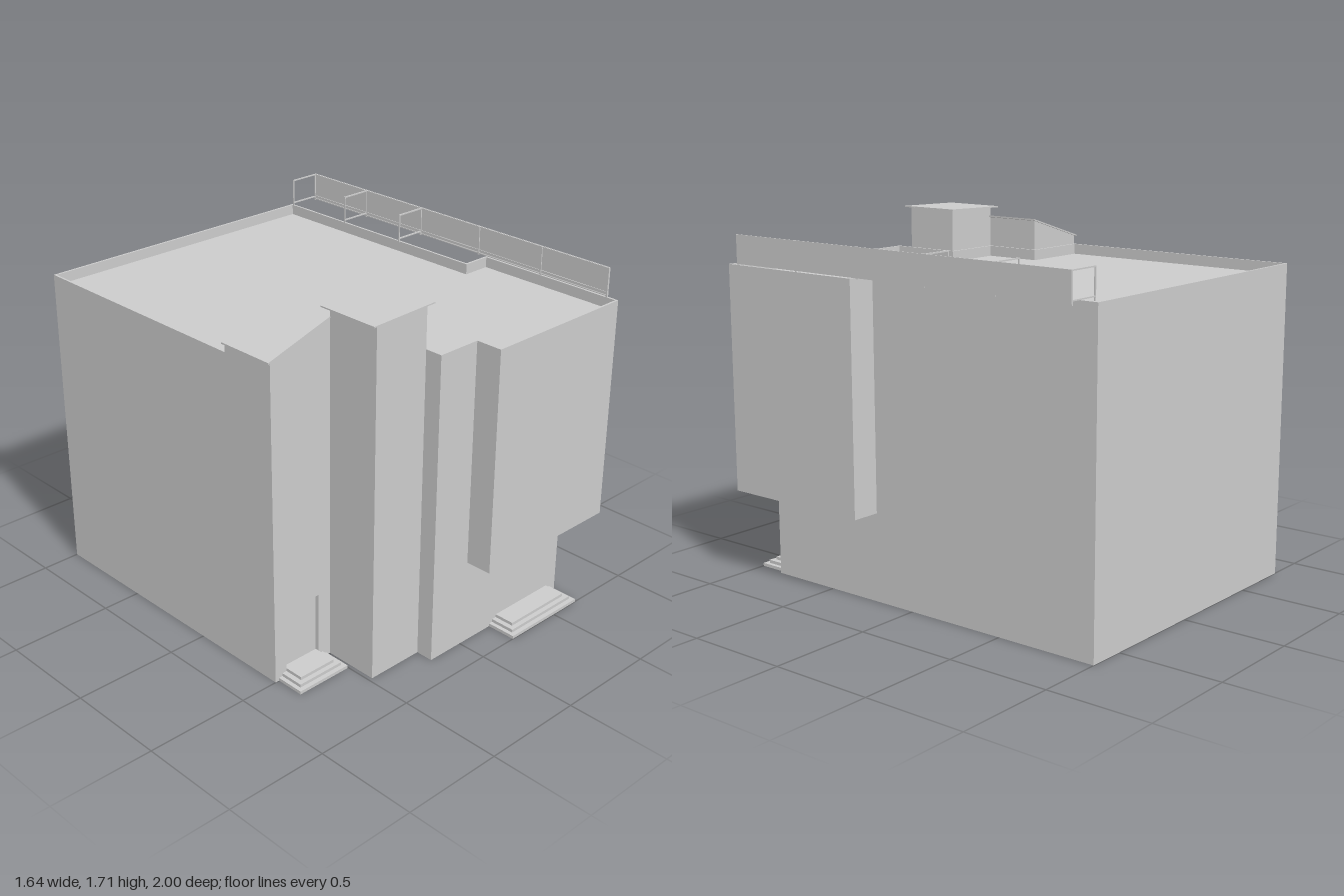
import * as THREE from 'three';

const DECK = 1.45, TOP = 1.5, SOFFIT = 0.42;

export function createModel() {
  const model = new THREE.Group();
  const mat = new THREE.MeshStandardMaterial({ color: 0xcccccc, side: THREE.DoubleSide });

  const add = (name, geo, parent = model) => {
    const mesh = new THREE.Mesh(geo, mat);
    mesh.name = name;
    parent.add(mesh);
    return mesh;
  };
  const group = (name) => {
    const g = new THREE.Group();
    g.name = name;
    model.add(g);
    return g;
  };
  // Box given by its minimum and maximum corners
  const box = (name, x0, y0, z0, x1, y1, z1, parent) =>
    add(name, new THREE.BoxGeometry(x1 - x0, y1 - y0, z1 - z0), parent)
      .position.set((x0 + x1) / 2, (y0 + y1) / 2, (z0 + z1) / 2);
  // Upright wall sheets along a path of [x, z] points
  const walls = (name, path, y0, y1, parent) => {
    for (let i = 0; i + 1 < path.length; i++) {
      const [ax, az] = path[i], [bx, bz] = path[i + 1];
      const m = add(name, new THREE.PlaneGeometry(Math.hypot(bx - ax, bz - az), y1 - y0), parent);
      m.position.set((ax + bx) / 2, (y0 + y1) / 2, (az + bz) / 2);
      m.rotation.y = Math.atan2(az - bz, bx - ax);
    }
  };
  const shapeOf = (pts) => new THREE.Shape(pts.map(([x, y]) => new THREE.Vector2(x, y)));
  const flat = (name, pts, y) =>
    add(name, new THREE.ShapeGeometry(shapeOf(pts)).rotateX(Math.PI / 2)).position.setY(y);
  // Inset an outline whose edges are all parallel to x or z
  const inset = (pts, t) => pts.map(([x, z], i) => {
    const n = pts.length, out = [x, z];
    for (const [a, b] of [[pts[(i + n - 1) % n], pts[i]], [pts[i], pts[(i + 1) % n]]]) {
      out[0] += Math.sign(b[1] - a[1]) * t;
      out[1] -= Math.sign(b[0] - a[0]) * t;
    }
    return out;
  });

  // Main walls, open at the bottom
  const body = group('mainWalls');
  walls('wall', [[0.68, -1], [-0.81, -1], [-0.81, 0.5]], 0, DECK, body);
  walls('wall', [[-0.48, 0.5], [-0.48, 0.77], [-0.19, 0.77], [-0.19, 0.855], [0.03, 0.855]], 0, DECK, body);
  walls('wall', [[0.68, 0.21], [0.68, -1]], 0, DECK, body);
  walls('lowerWall', [[0.03, 0.855], [0.68, 0.855], [0.68, 0.21]], 0, SOFFIT, body);

  // Overhanging upper volume
  const bay = [[0.03, 0.855], [0.03, 0.985], [0.82, 0.985], [0.82, 0.21], [0.68, 0.21]];
  walls('overhangWall', bay, SOFFIT, DECK);
  flat('overhangSoffit', [...bay, [0.68, 0.855]], SOFFIT);

  // Roof deck and the parapet around it, stepping behind the towers
  const outline = [[-0.81, -1], [-0.81, 0.22], [-0.48, 0.22], [-0.48, 0.5], [-0.19, 0.5],
    [-0.19, 0.855], ...bay.slice(0, 5), [0.68, -1]];
  flat('roofDeck', outline, DECK);
  const rim = shapeOf(outline);
  rim.holes.push(shapeOf(inset(outline, 0.01)));
  add('parapet', new THREE.ExtrudeGeometry(rim, { depth: TOP - DECK, bevelEnabled: false })
    .rotateX(Math.PI / 2)).position.setY(TOP);

  // Low tower with a sloping top and a recessed door
  const low = group('lowTower');
  const front = shapeOf([[-0.81, 0], [-0.48, 0], [-0.48, 1.645], [-0.81, 1.543]]);
  front.holes.push(shapeOf([[-0.745, 0.045], [-0.55, 0.045], [-0.55, 0.34], [-0.745, 0.34]]));
  add('doorWall', new THREE.ShapeGeometry(front), low).position.z = 0.5;
  const back = shapeOf([[-0.81, DECK], [-0.48, DECK], [-0.48, 1.645], [-0.81, 1.543]]);
  add('backWall', new THREE.ShapeGeometry(back).rotateY(Math.PI)
    .scale(-1, 1, -1).translate(0, 0, 0.22), low);
  walls('sideWall', [[-0.81, 0.22], [-0.81, 0.5]], DECK, 1.543, low);
  walls('sideWall', [[-0.48, 0.5], [-0.48, 0.22]], DECK, 1.645, low);
  box('door', -0.745, 0.045, 0.475, -0.55, 0.34, 0.48, low);
  walls('doorJamb', [[-0.745, 0.5], [-0.745, 0.48]], 0.045, 0.34, low);
  walls('doorJamb', [[-0.55, 0.48], [-0.55, 0.5]], 0.045, 0.34, low);
  box('doorHead', -0.745, 0.34, 0.48, -0.55, 0.342, 0.5, low);
  box('doorSill', -0.745, 0.04, 0.48, -0.55, 0.045, 0.5, low);
  const lowRoof = shapeOf([[-0.82, 1.538], [-0.47, 1.645], [-0.47, 1.652], [-0.82, 1.545]]);
  add('slopingRoof', new THREE.ExtrudeGeometry(lowRoof, { depth: 0.29, bevelEnabled: false }), low)
    .position.z = 0.212;

  // High tower with an almost flat roof plate
  const high = group('highTower');
  walls('towerWall', [[-0.48, 0.5], [-0.48, 0.77], [-0.19, 0.77], [-0.19, 0.5], [-0.48, 0.5]], DECK, 1.696, high);
  const highRoof = shapeOf([[-0.51, 1.691], [-0.16, 1.7], [-0.16, 1.706], [-0.51, 1.697]]);
  add('roofPlate', new THREE.ExtrudeGeometry(highRoof, { depth: 0.31, bevelEnabled: false }), high)
    .position.z = 0.475;

  // Three stacked steps before each entrance
  const steps = (name, x0, x1, z0, z1) => {
    const g = group(name);
    [[0, 0], [0.02, 0.022], [0.045, 0.045]].forEach(([dx, dz], i) =>
      box('step', x0 + dx, i * 0.015, z0, x1 - dx, (i + 1) * 0.015, z1 - dz, g));
  };
  steps('sideSteps', -0.79, -0.505, 0.5, 0.64);
  steps('frontSteps', 0.205, 0.66, 0.855, 1);

  // Screen along the roof edge with its posts and brackets
  const screen = group('roofScreen');
  box('panel', 0.814, 1.505, -0.973, 0.819, 1.64, 0.93, screen);
  for (const y of [1.505, 1.52, 1.634])
    box('rail', 0.81, y, -0.973, 0.816, y + 0.005, 0.93, screen);
  for (let i = 0; i < 6; i++) {
    const z = -0.973 + i * 0.3794;
    box('post', 0.809, 1.5, z, 0.816, 1.64, z + 0.006, screen);
    if (i > 2) continue;
    box('innerPost', 0.657, 1.5, z, 0.663, 1.64, z + 0.006, screen);
    box('bracketTop', 0.657, 1.634, z, 0.816, 1.64, z + 0.006, screen);
    box('bracketBottom', 0.657, 1.516, z, 0.816, 1.522, z + 0.006, screen);
  }
  return model;
}
